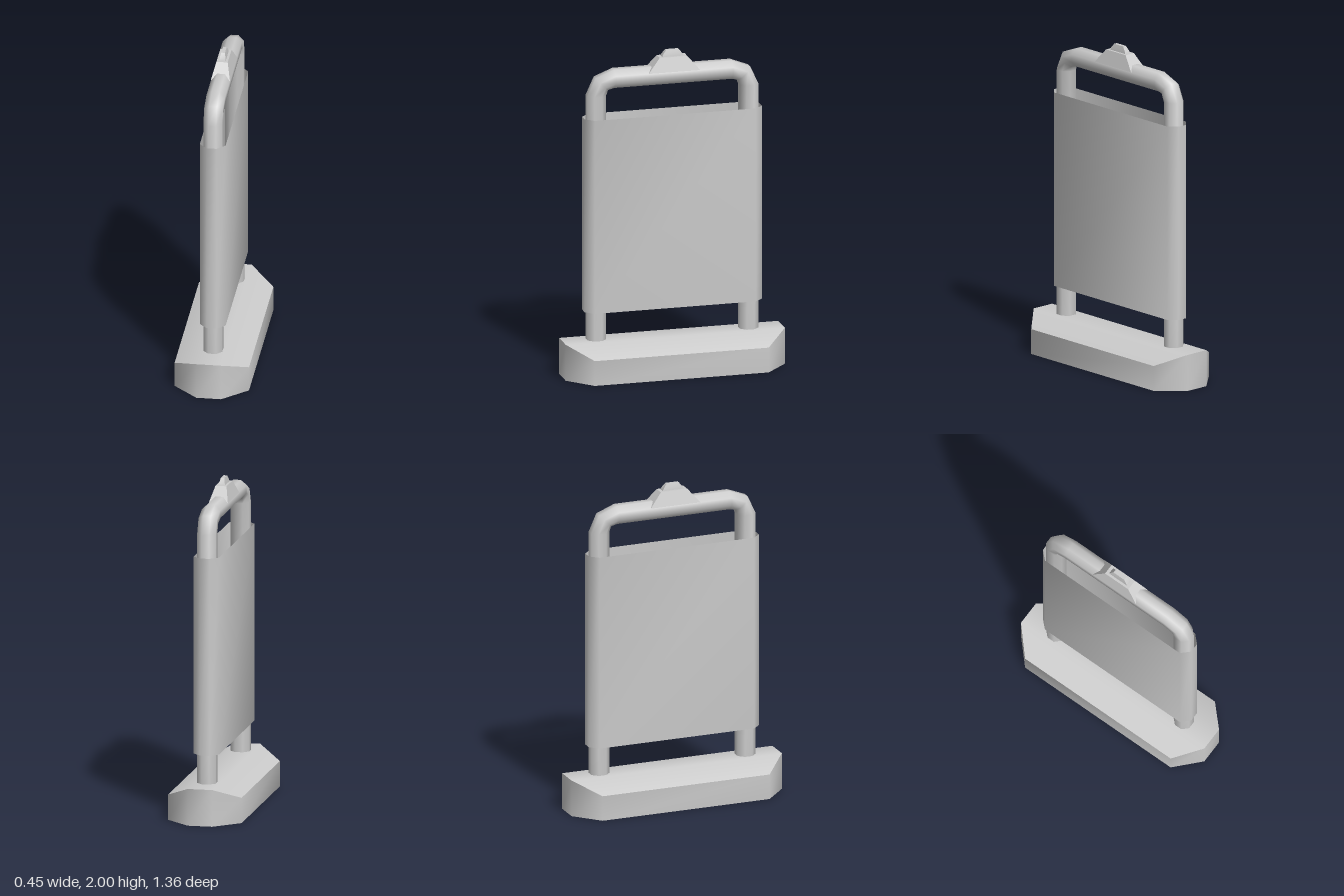
import * as THREE from 'three';
import { toCreasedNormals } from 'three/addons/utils/BufferGeometryUtils.js';

const material = new THREE.MeshStandardMaterial({ color: 0xcccccc, side: THREE.DoubleSide });

// Skin a series of equal-length rings of [x, y, z]; cap lists triangles closing the last ring.
function loft(name, rings, cap = [], crease = 0.9) {
  const n = rings[0].length;
  const index = [];
  for (let k = 0; k < rings.length - 1; k++) {
    for (let i = 0; i < n; i++) {
      const a = k * n + i, b = k * n + (i + 1) % n;
      index.push(b, a, a + n, b, a + n, b + n);
    }
  }
  cap.forEach(i => index.push((rings.length - 1) * n + i));
  const geometry = new THREE.BufferGeometry();
  geometry.setAttribute('position', new THREE.Float32BufferAttribute(rings.flat(2), 3));
  geometry.setIndex(index);
  const mesh = new THREE.Mesh(toCreasedNormals(geometry, crease), material);
  mesh.name = name;
  return mesh;
}

// Long octagon: a, Z = end edge; X, z = side edge, with separate heights for the two
const octagon = (a, Z, X, z, yEnd, ySide = yEnd) => [
  [a, yEnd, -Z], [X, ySide, -z], [X, ySide, z], [a, yEnd, Z],
  [-a, yEnd, Z], [-X, ySide, z], [-X, ySide, -z], [-a, yEnd, -Z],
];
const rectangle = (x, z, y) => [[x, y, -z], [x, y, z], [-x, y, z], [-x, y, -z]];
const rectCap = [0, 2, 1, 0, 3, 2];

export function createModel() {
  const model = new THREE.Group();
  model.name = 'signStand';

  // Hollow foot, open below, with a flat ridge and two sloping shoulders
  model.add(loft('base', [
    octagon(0.075, 0.68, 0.225, 0.54, 0),
    octagon(0.075, 0.68, 0.225, 0.54, 0.225, 0.155),
  ], [0, 3, 1, 1, 3, 2, 0, 7, 3, 3, 7, 4, 4, 7, 5, 5, 7, 6]));

  // Thin sleeve around both legs, open at top and bottom
  model.add(loft('panelSleeve', [
    octagon(0.03, 0.55, 0.078, 0.5, 0.405),
    octagon(0.03, 0.55, 0.078, 0.5, 1.612),
  ]));

  // Bent tube frame: outer and inner edge [z, y] at each bend of one half, then mirrored
  const half = [
    [[0.53, 0.225], [0.415, 0.225]],
    [[0.53, 1.75], [0.415, 1.75]],
    [[0.48, 1.86], [0.403, 1.782]],
    [[0.365, 1.905], [0.365, 1.792]],
  ];
  const mirrored = half.map(pair => pair.map(([z, y]) => [-z, y])).reverse();
  const frameRings = [...half, ...mirrored].map(([[zo, yo], [zi, yi]]) =>
    Array.from({ length: 8 }, (_, j) => {
      const t = (j + 0.5) * Math.PI / 4, s = 1 / Math.cos(Math.PI / 8);
      const u = Math.sin(t) * s / 2;
      return [0.057 * s * Math.cos(t), (yo + yi) / 2 + (yo - yi) * u, (zo + zi) / 2 + (zo - zi) * u];
    }));
  model.add(loft('tubeFrame', frameRings, [], 1.2));

  // Tapered saddle on the top bar
  model.add(loft('saddle', [
    rectangle(0.058, 0.16, 1.873),
    rectangle(0.034, 0.086, 1.96),
  ], rectCap, 0.3));

  // Small tapered knob on the saddle
  model.add(loft('knob', [
    rectangle(0.02, 0.068, 1.955),
    rectangle(0.018, 0.062, 1.972),
    rectangle(0.011, 0.04, 2.0),
  ], rectCap, 0.7));

  return model;
}
